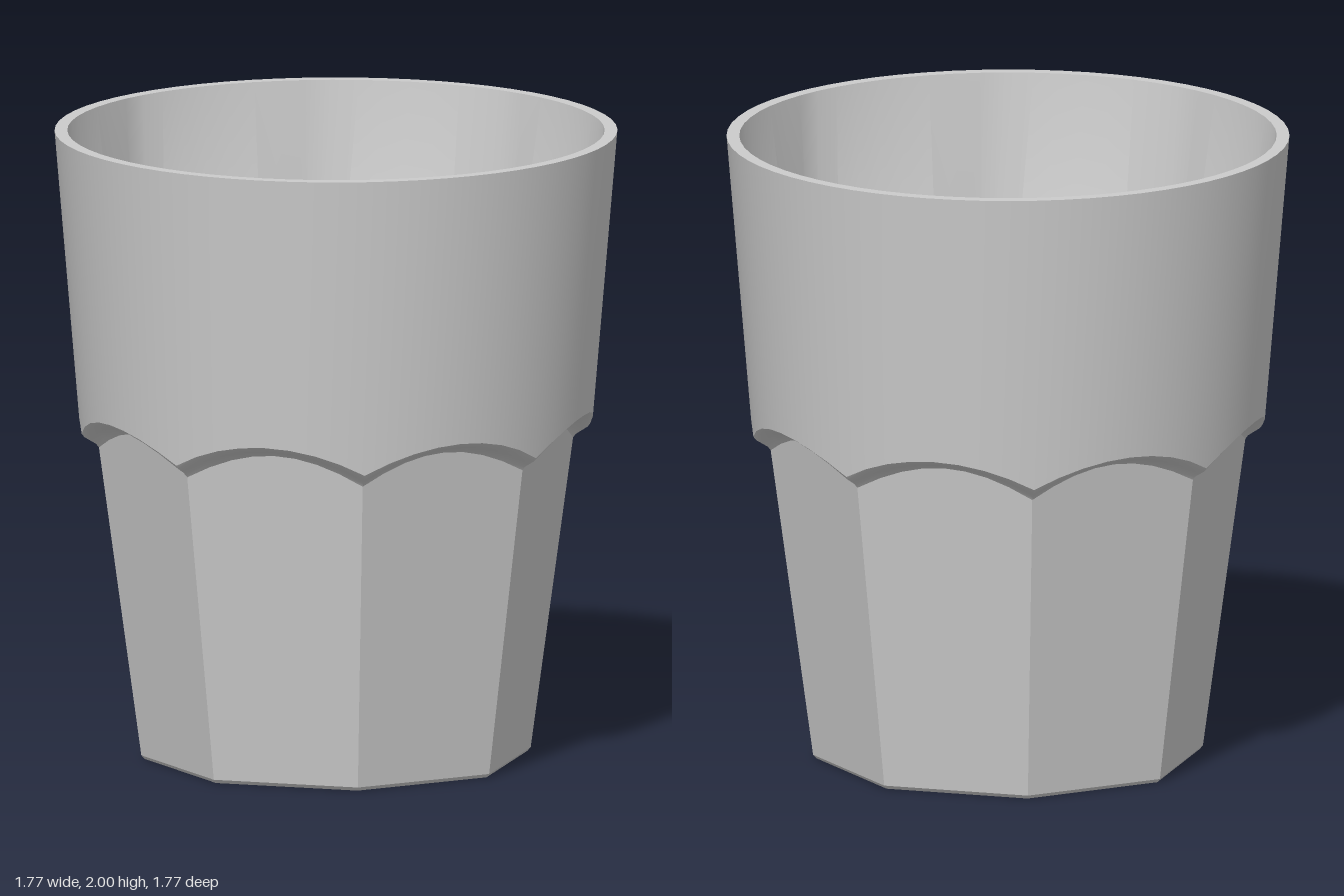
import * as THREE from 'three';
import { toCreasedNormals } from 'three/addons/utils/BufferGeometryUtils.js';

const SIDES = 8, PER_SIDE = 8, SEGS = SIDES * PER_SIDE;
const { lerp, smoothstep } = THREE.MathUtils;

// position across one facet: -1 and 1 at its corners, 0 in the middle
const across = (j) => ((j % PER_SIDE) / PER_SIDE) * 2 - 1;
// ratio of octagon radius to corner radius at segment j
const octagon = (j) => {
  const half = Math.PI / SIDES;
  return Math.cos(half) / Math.cos(across(j) * half);
};
const arch = (j) => 1 - across(j) ** 2;

// Each row is a function j -> [radius, height]; rows run up the outside and down the inside
function skin(name, rows, material) {
  const pos = [], index = [];
  rows.forEach((row) => {
    for (let j = 0; j < SEGS; j++) {
      const a = (j / SEGS) * Math.PI * 2;
      const [r, y] = row(j);
      pos.push(r * Math.cos(a), y, r * Math.sin(a));
    }
  });
  for (let i = 0; i < rows.length - 1; i++) {
    for (let j = 0; j < SEGS; j++) {
      const k = (j + 1) % SEGS;
      const a = i * SEGS + j, b = i * SEGS + k, c = a + SEGS, d = b + SEGS;
      index.push(b, a, c, b, c, d);
    }
  }
  const geometry = new THREE.BufferGeometry();
  geometry.setAttribute('position', new THREE.Float32BufferAttribute(pos, 3));
  geometry.setIndex(index);
  const mesh = new THREE.Mesh(toCreasedNormals(geometry, 0.55), material);
  mesh.name = name;
  return mesh;
}

const circle = (r, y) => () => [r, y];
const octRow = (r, y) => (j) => [r * octagon(j), y];

export function createModel() {
  const group = new THREE.Group();
  group.name = 'tumbler';
  const glass = new THREE.MeshStandardMaterial({ color: 0xcccccc });

  // outer radii of the round upper wall and the faceted lower wall
  const coneR = (y) => 0.805 + 0.08 * (y - 1.05) / 0.95;
  const facetR = (y, j) => (0.615 + 0.135 * y) * octagon(j);

  // scalloped shoulder: s = 0 at the facet tops, 1 at the round wall
  const shoulder = (s) => (j) => {
    const low = 1.0 + 0.085 * arch(j), high = 1.045 + 0.085 * arch(j);
    return [lerp(facetR(low, j), coneR(high), smoothstep(s, 0, 1)), lerp(low, high, s)];
  };

  group.add(
    skin('base', [circle(0, 0), octRow(0.605, 0), octRow(0.616, 0.012)], glass),
    skin('facetedWall', [octRow(0.616, 0.012), shoulder(0)], glass),
    skin('roundWall', [0, 0.25, 0.5, 0.75, 1].map(shoulder).concat(circle(0.885, 2)), glass),
    skin('rim', [circle(0.885, 2), circle(0.845, 2)], glass),
    // inside blends from the round mouth to an octagon, then a ledge and the faceted well
    skin('innerWall', [
      circle(0.845, 2), octRow(0.77, 1.06), octRow(0.72, 1.0), octRow(0.615, 0.25),
    ], glass),
    skin('innerFloor', [octRow(0.615, 0.25), circle(0, 0.25)], glass),
  );
  return group;
}
